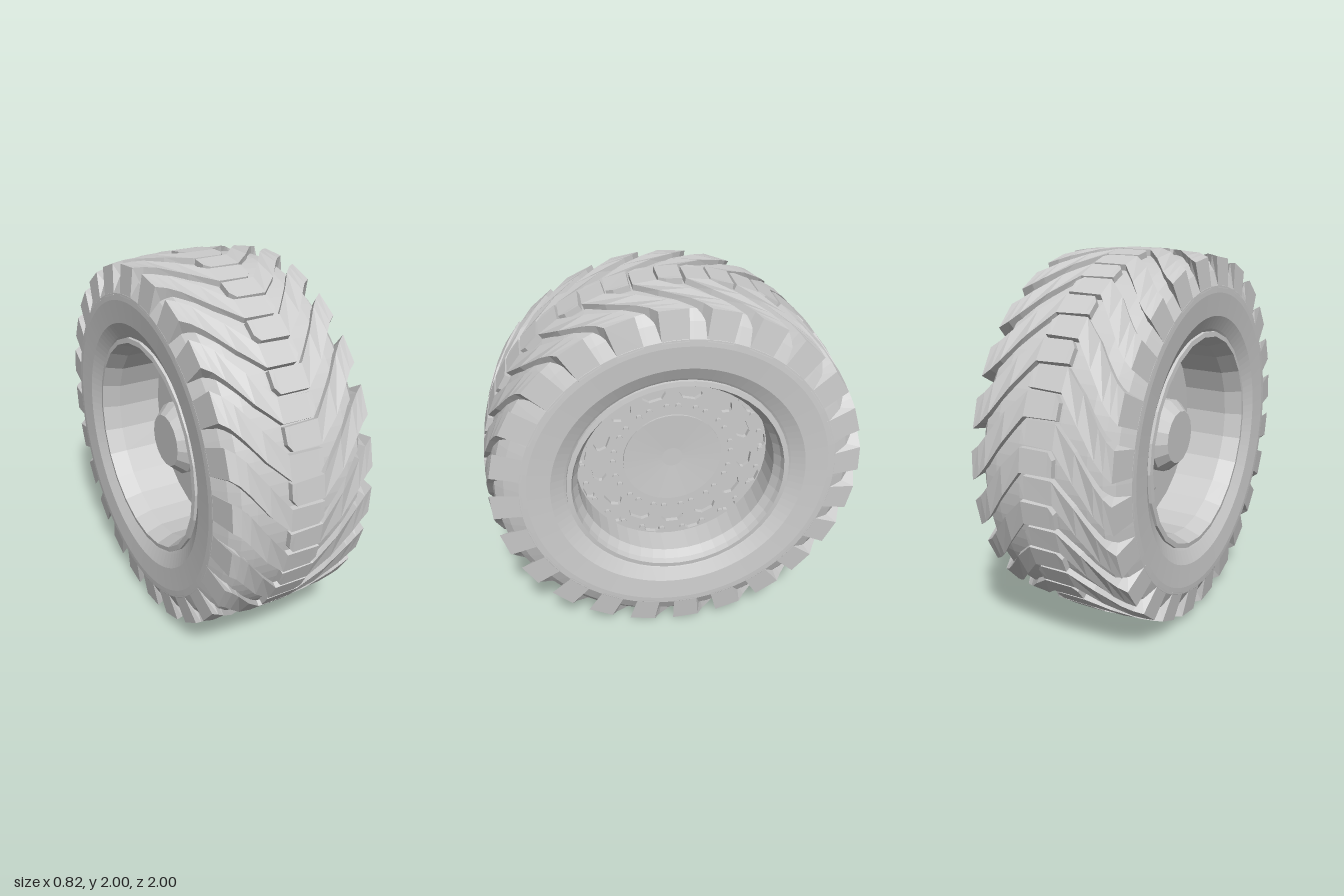
import * as THREE from 'three';
import { mergeGeometries } from 'three/addons/utils/BufferGeometryUtils.js';

const material = new THREE.MeshStandardMaterial({ color: 0xcccccc, flatShading: true });
const LUGS = 24, PITCH = (Math.PI * 2) / LUGS;

function add(group, name, geometry) {
  const mesh = new THREE.Mesh(geometry, material);
  mesh.name = name;
  group.add(mesh);
  return mesh;
}

// Revolve [radius, x] points about the x axis
function revolve(points, segments) {
  return new THREE.LatheGeometry(points.map(([r, x]) => new THREE.Vector2(r, x)), segments).rotateZ(-Math.PI / 2);
}

// Half profile for +x, mirrored into a full one running from -x to +x
function mirrored(half) {
  return [...half.map(([r, x]) => [r, -x]), ...half.slice().reverse()];
}

// One chevron lug: centre bar, sweeping arm and shoulder block.
// Each station: x, low angle, high angle, top radius, base radius, base x
const STATIONS = [
  [-0.09, 0.035, 0.115, 1.0, 0.955, -0.09],
  [-0.065, 0, 0.115, 1.0, 0.955, -0.065],
  [0.09, 0, 0.12, 1.0, 0.955, 0.09],
  [0.2, 0.11, 0.26, 0.993, 0.945, 0.2],
  [0.3, 0.245, 0.4, 0.985, 0.92, 0.3],
  [0.345, 0.3, 0.45, 0.979, 0.86, 0.345],
  [0.388, 0.335, 0.485, 0.972, 0.815, 0.409],
];

function lugGeometry(side, start) {
  const pos = [], index = [];
  for (const [x, lo, hi, top, base, baseX] of STATIONS) {
    const loop = [[baseX, base, lo - 0.005], [x, top, lo], [x, top, hi], [baseX, base, hi + 0.005]];
    for (const [px, r, a] of loop) pos.push(side * px, r * Math.sin(a + start), r * Math.cos(a + start));
  }
  const quad = (a, b, c, d) => (side > 0 ? index.push(a, b, c, a, c, d) : index.push(a, c, b, a, d, c));
  const last = (STATIONS.length - 1) * 4;
  for (let i = 0; i < last; i += 4) {
    for (let j = 0; j < 3; j++) quad(i + j, i + 4 + j, i + 5 + j, i + 1 + j);
  }
  quad(0, 1, 2, 3);
  quad(last + 3, last + 2, last + 1, last);
  const g = new THREE.BufferGeometry();
  g.setAttribute('position', new THREE.Float32BufferAttribute(pos, 3));
  g.setIndex(index);
  const flat = g.toNonIndexed();
  flat.computeVertexNormals();
  return flat;
}

// Oblong window with cut corners, at angle a from the top
function windowPath(a, radius, w, h, cut) {
  const corners = [
    [-w, -h + cut], [-w + cut, -h], [w - cut, -h], [w, -h + cut],
    [w, h - cut], [w - cut, h], [-w + cut, h], [-w, h - cut],
  ];
  return new THREE.Path(corners.map(([t, n]) => new THREE.Vector2(
    (radius + n) * Math.sin(a) + t * Math.cos(a),
    (radius + n) * Math.cos(a) - t * Math.sin(a))));
}

export function createModel() {
  const model = new THREE.Group();
  model.name = 'wheel';
  const wheel = new THREE.Group();
  wheel.name = 'tyreAndRim';
  wheel.position.y = 1;
  model.add(wheel);

  // Tyre body
  add(wheel, 'tyreCarcass', revolve(mirrored([
    [0.575, 0.35], [0.6, 0.365], [0.67, 0.4], [0.79, 0.41], [0.825, 0.408],
    [0.9, 0.368], [0.945, 0.325], [0.96, 0.25], [0.969, 0.1],
  ]), 96));

  // Tread: the two sides are half a pitch apart
  for (const [side, phase, name] of [[1, 0.074, 'leftTreadLugs'], [-1, 0.204, 'rightTreadLugs']]) {
    const lugs = [];
    for (let i = 0; i < LUGS; i++) lugs.push(lugGeometry(side, phase + i * PITCH));
    add(wheel, name, mergeGeometries(lugs));
  }

  // Rim barrel: fine outer half, coarser inner half
  add(wheel, 'outerRim', revolve([
    [0.59, 0.35], [0.588, 0.372], [0.562, 0.375], [0.552, 0.345], [0.525, 0.3], [0.525, 0.05],
  ], 48));
  add(wheel, 'innerRim', revolve([
    [0.53, 0.05], [0.53, -0.28], [0.552, -0.345], [0.562, -0.375], [0.588, -0.372], [0.59, -0.35],
  ], 24));

  // Wheel disc with the hub boss on its inner side
  add(wheel, 'wheelDisc', revolve([
    [0, -0.08], [0.34, -0.08], [0.4, -0.03], [0.53, -0.03], [0.53, 0.125], [0, 0.125],
  ], 48));
  add(wheel, 'hubBoss', revolve([[0, -0.24], [0.145, -0.24], [0.2, -0.18], [0.2, -0.07]], 16));

  // Outer plate with a ring of large windows and a ring of small slots
  const COUNT = 13, STEP = (Math.PI * 2) / COUNT;
  const plate = new THREE.Shape().absarc(0, 0, 0.527, 0, Math.PI * 2, false);
  plate.holes.push(new THREE.Path().absarc(0, 0, 0.26, 0, Math.PI * 2, true));
  for (let i = 0; i < COUNT; i++) {
    plate.holes.push(windowPath((i + 0.5) * STEP, 0.405, 0.062, 0.036, 0.028));
    plate.holes.push(windowPath(i * STEP, 0.495, 0.042, 0.022, 0.014));
  }
  add(wheel, 'perforatedPlate', new THREE.ExtrudeGeometry(plate, {
    depth: 0.025, bevelEnabled: false, curveSegments: 32,
  }).rotateY(Math.PI / 2).translate(0.125, 0, 0));

  // Slightly dished hub cover
  add(wheel, 'hubCover', revolve([[0.27, 0.12], [0.27, 0.16], [0.057, 0.148], [0, 0.148]], 40));

  // Bolts: pairs beside each slot, and pairs around the hub cover
  const bolts = [];
  const bolt = (a, r, size) => bolts.push(new THREE.CylinderGeometry(size, size, 0.03, 8)
    .rotateZ(Math.PI / 2).translate(0.15, r * Math.cos(a), -r * Math.sin(a)));
  for (let i = 0; i < COUNT; i++) {
    for (const s of [-1, 1]) {
      bolt(i * STEP + s * 0.12, 0.49, 0.016);
      bolt(i * STEP + s * 0.095, 0.325, 0.016);
    }
  }
  add(wheel, 'bolts', mergeGeometries(bolts));

  // Slanted valve block
  const valve = add(wheel, 'valve', new THREE.BoxGeometry(0.08, 0.06, 0.06));
  valve.position.set(0.16, 0.49, -0.11);
  valve.rotation.set(-0.22, 0, -0.8);

  return model;
}
